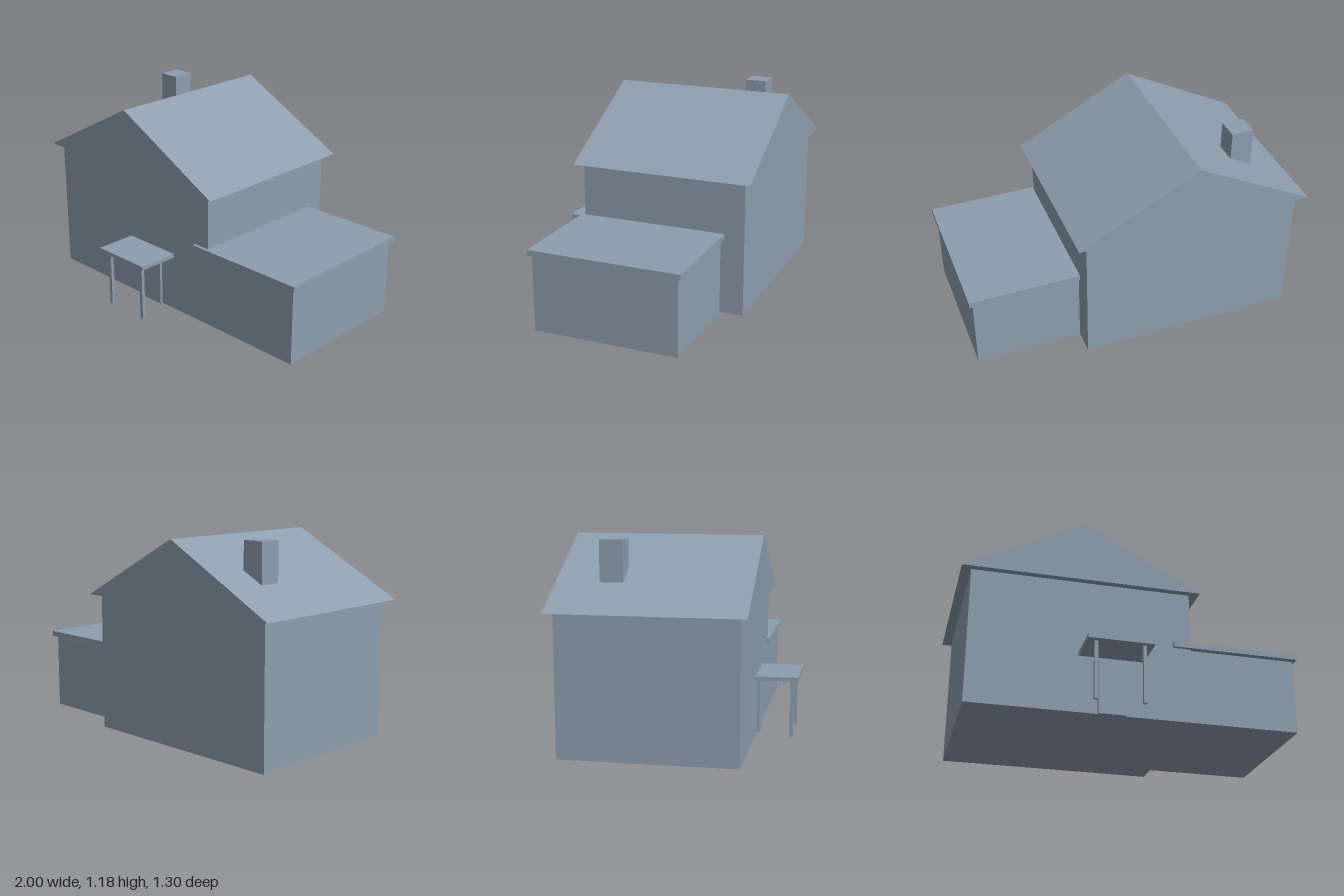
import * as THREE from 'three';

const material = new THREE.MeshStandardMaterial({ color: 0x8e9eae, flatShading: true });

export function createModel() {
  const house = new THREE.Group();
  house.name = 'house';

  const add = (name, geometry) => {
    const mesh = new THREE.Mesh(geometry, material);
    mesh.name = name;
    house.add(mesh);
    return mesh;
  };

  // Box given by its extents along each axis
  const block = (name, [x0, x1], [y0, y1], [z0, z1]) =>
    add(name, new THREE.BoxGeometry(x1 - x0, y1 - y0, z1 - z0))
      .position.set((x0 + x1) / 2, (y0 + y1) / 2, (z0 + z1) / 2);

  // Main building
  block('mainWalls', [-0.943, 0.346], [0, 0.805], [-0.604, 0.4]);
  block('chimney', [-0.737, -0.606], [0.85, 1.177], [-0.402, -0.271]);

  // Gable roof: a triangle extruded from back to front
  const gable = new THREE.Shape([
    new THREE.Vector2(-1, 0.805),
    new THREE.Vector2(0.403, 0.805),
    new THREE.Vector2(-0.2985, 1.177),
  ]);
  add('gableRoof', new THREE.ExtrudeGeometry(gable, { depth: 1.09, bevelEnabled: false }))
    .position.z = -0.649;

  // Side wing with its flat roof, which runs a little way into the main building
  block('wingWalls', [0.346, 0.977], [0, 0.445], [-0.462, 0.4]);
  block('wingRoof', [0.24, 1], [0.453, 0.485], [-0.485, 0.42]);

  // Entrance: door, canopy and two slim posts
  block('door', [-0.203, -0.044], [0, 0.317], [0.39, 0.416]);
  block('canopy', [-0.315, 0.061], [0.339, 0.363], [0.4, 0.649]);
  for (const side of [-1, 1]) {
    const x = -0.127 + side * 0.137;
    block(side < 0 ? 'rightPost' : 'leftPost', [x - 0.01, x + 0.01], [0, 0.339], [0.599, 0.619]);
  }

  return house;
}
